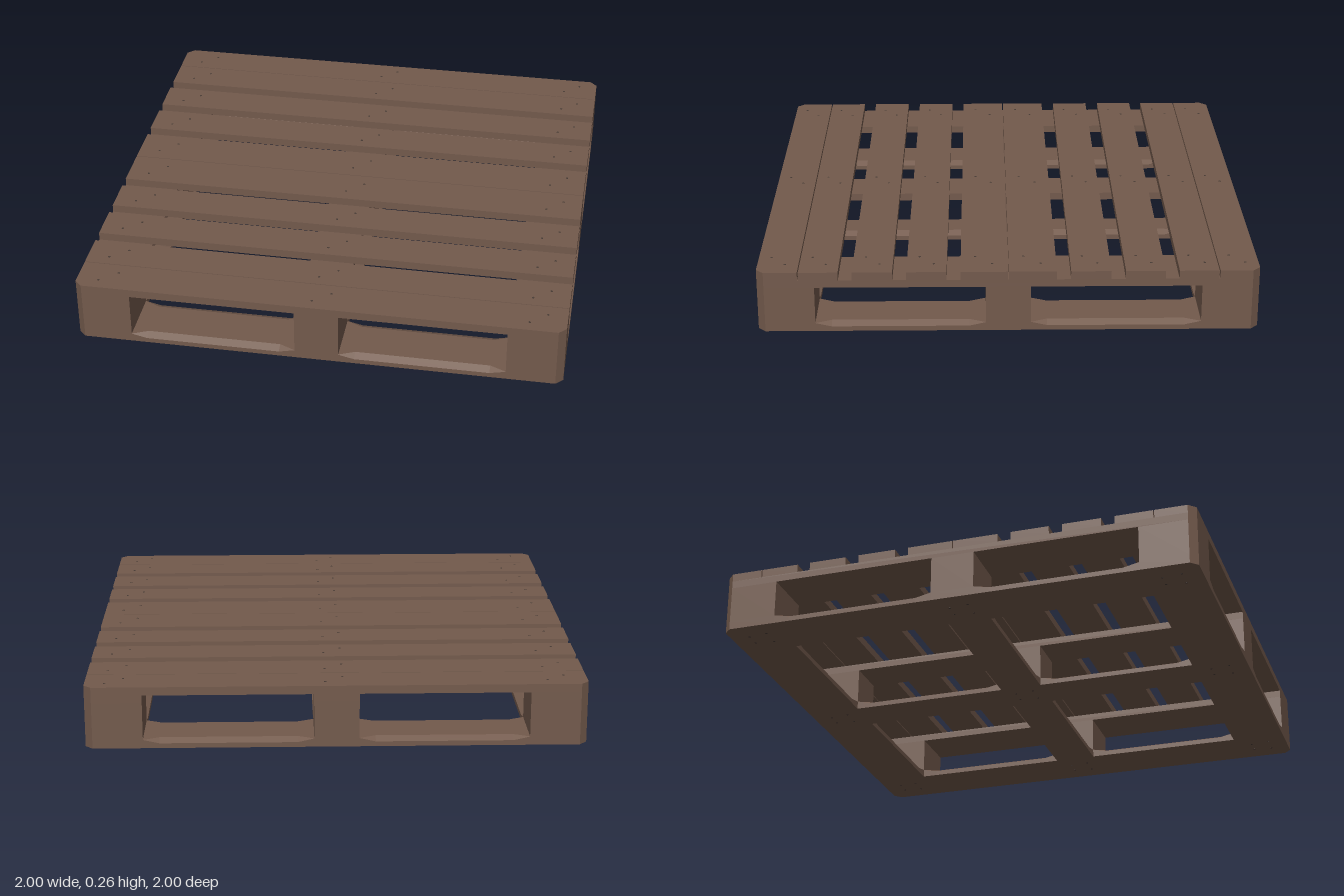
import * as THREE from 'three';
import { mergeGeometries } from 'three/addons/utils/BufferGeometryUtils.js';

const wood = new THREE.MeshStandardMaterial({ color: 0x735a4c });
wood.name = 'wood';
const steel = new THREE.MeshStandardMaterial({ color: 0x4a3d36 });
steel.name = 'nailSteel';

const CUT = 0.03;      // diagonal cut at the pallet corners
const INNER = 0.77, MID = 0.09;
const Y = { base: 0.035, block: 0.19, stringer: 0.221, top: 0.255 };
const BANDS = [[-1, -INNER], [-MID, MID], [INNER, 1]];

// Upright slab from a plan rectangle, cut diagonally wherever it reaches a pallet corner
function slab(x0, x1, z0, z1, y0, y1) {
  const points = [];
  const corner = (x, z, xFirst) => {
    if (Math.abs(x) < 1 || Math.abs(z) < 1) {
      points.push(new THREE.Vector2(x, -z));
      return;
    }
    const alongX = new THREE.Vector2(x - Math.sign(x) * CUT, -z);
    const alongZ = new THREE.Vector2(x, -(z - Math.sign(z) * CUT));
    points.push(...(xFirst ? [alongX, alongZ] : [alongZ, alongX]));
  };
  corner(x0, z1, false);
  corner(x1, z1, true);
  corner(x1, z0, false);
  corner(x0, z0, true);
  const geo = new THREE.ExtrudeGeometry(new THREE.Shape(points), { depth: y1 - y0, bevelEnabled: false });
  return geo.rotateX(-Math.PI / 2).translate(0, y0, 0);
}

// Base board between two blocks: upper edges bevelled, the bevel running out at both ends
function bevelledSpan(length, width) {
  const h = Y.base, w = width / 2;
  const stations = [[0, 0.02], [0.025, 0.4], [0.065, 1]];
  const half = stations.map(([d, s]) => [d - length / 2, s]);
  const all = [...half, ...half.map(([x, s]) => [-x, s]).reverse()];
  const rings = all.map(([x, s]) => {
    const side = h - 0.015 * s, top = w - 0.03 * s;
    return [[x, 0, w], [x, 0, -w], [x, side, -w], [x, h, -top], [x, h, top], [x, side, w]];
  });
  const pos = [];
  for (let i = 0; i < rings.length - 1; i++) {
    for (let j = 0; j < 6; j++) {
      const k = (j + 1) % 6;
      const a = rings[i][j], b = rings[i][k], c = rings[i + 1][k], d = rings[i + 1][j];
      pos.push(...a, ...b, ...c, ...a, ...c, ...d);
    }
  }
  const geo = new THREE.BufferGeometry();
  geo.setAttribute('position', new THREE.Float32BufferAttribute(pos, 3));
  geo.computeVertexNormals();
  return geo;
}

function add(parent, name, geo, material = wood) {
  const mesh = new THREE.Mesh(geo, material);
  mesh.name = name;
  parent.add(mesh);
  return mesh;
}

function section(parent, name) {
  const group = new THREE.Group();
  group.name = name;
  parent.add(group);
  return group;
}

export function createModel() {
  const pallet = new THREE.Group();
  pallet.name = 'pallet';
  const base = section(pallet, 'baseFrame');
  const blocks = section(pallet, 'blocks');
  const stringers = section(pallet, 'stringers');
  const deck = section(pallet, 'deck');

  // Nine blocks standing on the base, joined by three stringers
  for (const [x0, x1] of BANDS) {
    for (const [z0, z1] of BANDS) {
      add(base, 'basePad', slab(x0, x1, z0, z1, 0, Y.base));
      add(blocks, 'block', slab(x0, x1, z0, z1, Y.base, Y.block));
    }
    add(stringers, 'stringer', slab(x0, x1, -1, 1, Y.block, Y.stringer));
  }

  // Base boards: perimeter and central cross
  const spanCentre = (INNER + MID) / 2;
  for (const [a, b] of BANDS) {
    const geo = bevelledSpan(INNER - MID, b - a);
    for (const side of [-1, 1]) {
      add(base, 'crossBaseBoard', geo).position.set(side * spanCentre, 0, (a + b) / 2);
      const board = add(base, 'longBaseBoard', geo);
      board.position.set((a + b) / 2, 0, side * spanCentre);
      board.rotation.y = Math.PI / 2;
    }
  }

  // Deck boards, front to back
  const boards = [
    [-1, -0.84], [-0.836, -0.678], [-0.623, -0.465], [-0.408, -0.248], [-0.192, -0.002],
    [0.002, 0.19], [0.245, 0.405], [0.46, 0.62], [0.675, 0.832], [0.836, 1],
  ];
  for (const [z0, z1] of boards) add(deck, 'deckBoard', slab(-1, 1, z0, z1, Y.stringer, Y.top));

  // Nail heads, staggered over each stringer, and under every base pad
  const heads = [];
  const nail = (x, y, z) => heads.push(new THREE.CylinderGeometry(0.005, 0.005, 0.002, 8).translate(x, y, z));
  for (const [z0, z1] of boards) {
    const near = z0 + (z1 - z0) * 0.33, far = z0 + (z1 - z0) * 0.69;
    for (const x of [-0.91, -0.025, 0.85]) {
      nail(x, Y.top, far);
      nail(x + 0.07, Y.top, near);
    }
  }
  for (const x of [-0.88, 0, 0.88]) {
    for (const z of [-0.88, 0, 0.88]) {
      for (const s of [-1, 1]) {
        nail(x + s * 0.04, 0.0005, z + 0.04);
        nail(x + s * 0.03, 0.0005, z - 0.04);
      }
    }
  }
  add(pallet, 'nailHeads', mergeGeometries(heads), steel);

  return pallet;
}
